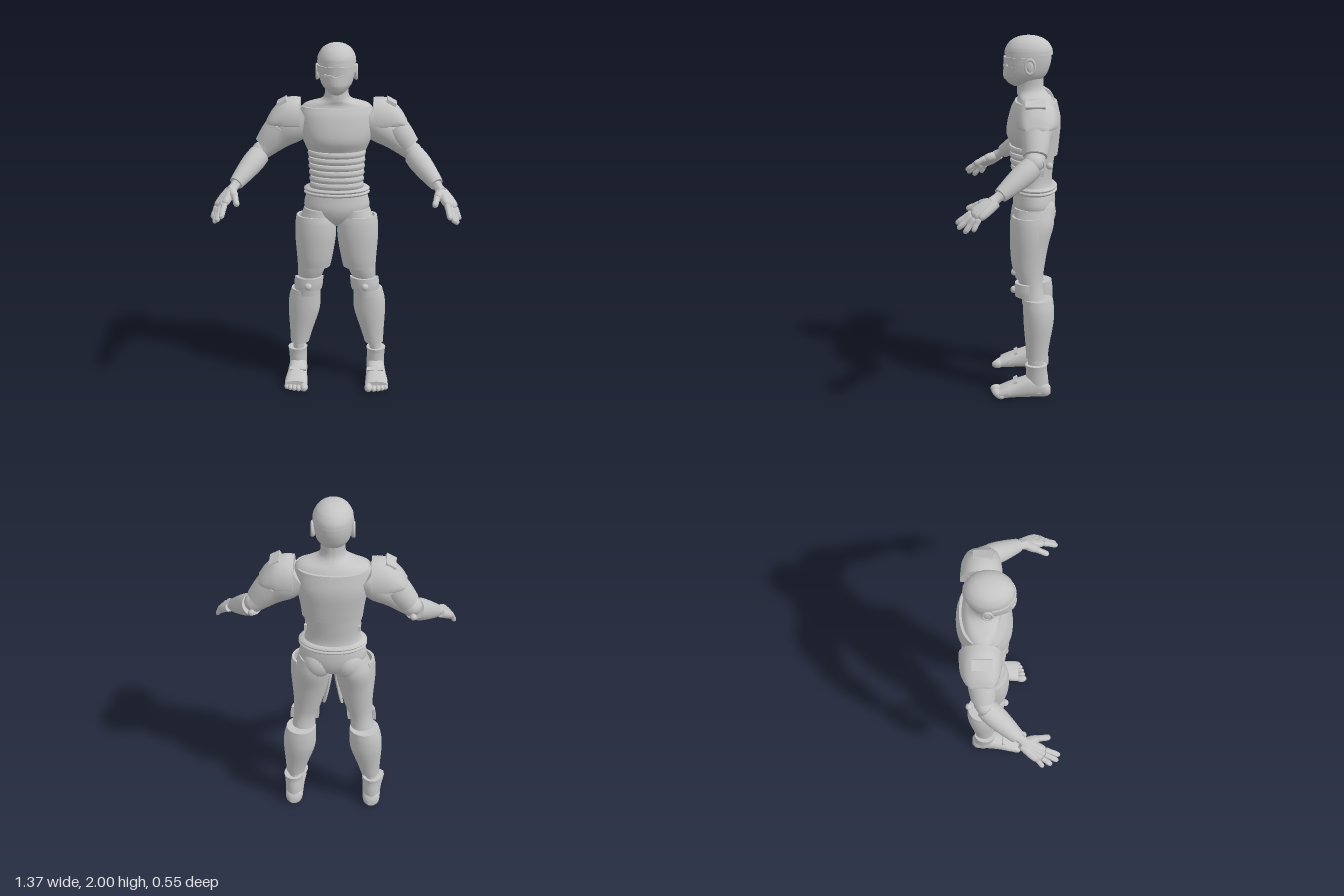
import * as THREE from 'three';
import { toCreasedNormals } from 'three/addons/utils/BufferGeometryUtils.js';

const grey = new THREE.MeshStandardMaterial({ color: 0xc4c4c4 });
grey.name = 'armour grey';
const V = (p) => new THREE.Vector3(...p);

function mesh(name, geometry, parent, pos = [0, 0, 0], rot = [0, 0, 0], scale = [1, 1, 1]) {
  const m = new THREE.Mesh(geometry, grey);
  m.name = name;
  m.position.set(...pos);
  m.rotation.set(...rot);
  m.scale.set(...scale);
  parent.add(m);
  return m;
}

// Smooth loft through ascending sections [y, cx, cz, rx, rz].
// With an arc [start, end] it becomes a curved plate of thickness th (0 = +x, PI/2 = front).
function loft(sections, { arc = null, th = 0.014, n = 2, seg = 32, sub = 5 } = {}) {
  const mid = new THREE.CatmullRomCurve3(sections.map((s) => V([s[1], s[0], s[2]])), false, 'catmullrom');
  const rad = new THREE.CatmullRomCurve3(sections.map((s) => V([s[3], 0, s[4]])), false, 'catmullrom');
  const rows = (sections.length - 1) * sub;
  const pos = [], idx = [];
  let N = 0;
  const pw = (v) => Math.sign(v) * Math.abs(v) ** (2 / n);
  for (let k = 0; k <= rows; k++) {
    const c = mid.getPoint(k / rows), r = rad.getPoint(k / rows), ring = [];
    const point = (a, d) => ring.push([c.x + pw(Math.cos(a)) * Math.max(r.x - d, 0.001), c.y,
      c.z + pw(Math.sin(a)) * Math.max(r.z - d, 0.001)]);
    if (arc) {
      for (let j = 0; j <= seg; j++) point(arc[0] + (arc[1] - arc[0]) * j / seg, 0);
      for (let j = seg; j >= 0; j--) point(arc[0] + (arc[1] - arc[0]) * j / seg, th);
    } else for (let j = 0; j < seg; j++) point(j / seg * Math.PI * 2, 0);
    N = ring.length;
    ring.forEach((p) => pos.push(...p));
  }
  for (let k = 0; k < rows; k++) for (let j = 0; j < N; j++) {
    const a = k * N + j, b = k * N + (j + 1) % N;
    idx.push(a, a + N, b, b, a + N, b + N);
  }
  // End caps
  const top = rows * N;
  for (let j = 0; j < N / 2 - 1; j++) {
    const a = j, b = j + 1, c = N - 2 - j, d = N - 1 - j;
    idx.push(a, b, d, b, c, d, top + b, top + a, top + d, top + c, top + b, top + d);
  }
  const g = new THREE.BufferGeometry();
  g.setAttribute('position', new THREE.Float32BufferAttribute(pos, 3));
  g.setIndex(idx);
  return toCreasedNormals(g, 0.75);
}

// Round limb between two points; profile is [fraction, radius].
function limb(name, parent, a, b, profile, seg = 24) {
  const d = V(b).sub(V(a)), len = d.length();
  const m = mesh(name, loft(profile.map(([t, r]) => [t * len, 0, 0, r, r]), { seg, sub: 4 }), parent, a);
  m.quaternion.setFromUnitVectors(new THREE.Vector3(0, 1, 0), d.normalize());
}
const finger = (r) => [[0, r * 0.8], [0.12, r], [0.45, r * 0.9], [0.6, r * 0.95], [0.85, r * 0.85], [0.96, r * 0.5], [1, r * 0.1]];
const ball = (r) => new THREE.SphereGeometry(r, 24, 16);
const box = (x, y, z) => new THREE.BoxGeometry(x, y, z);

function addHead(g) {
  mesh('head', loft([[1.725, 0, -0.07, 0.03, 0.05], [1.75, 0, -0.075, 0.06, 0.09], [1.79, 0, -0.09, 0.088, 0.113],
    [1.85, 0, -0.1, 0.1, 0.125], [1.91, 0, -0.105, 0.102, 0.125]], { n: 2.1 }), g);
  mesh('helmetCap', loft([[1.897, 0, -0.105, 0.107, 0.132], [1.93, 0, -0.105, 0.103, 0.127], [1.965, 0, -0.105, 0.084, 0.104],
    [1.987, 0, -0.105, 0.056, 0.07], [1.997, 0, -0.105, 0.028, 0.034], [2, 0, -0.105, 0.002, 0.002]]), g);
  mesh('visor', loft([[1.846, 0, -0.1, 0.108, 0.132], [1.885, 0, -0.1, 0.109, 0.133]], { arc: [0.1, Math.PI - 0.1] }), g);
  mesh('faceMask', loft([[1.762, 0, -0.085, 0.07, 0.113], [1.785, 0, -0.09, 0.086, 0.125], [1.835, 0, -0.095, 0.1, 0.126]],
    { arc: [0.5, Math.PI - 0.5], th: 0.02 }), g);
  for (const s of [-1, 1]) {
    mesh('eyeSlit', box(0.055, 0.008, 0.012), g, [s * 0.04, 1.84, 0.021], [0, s * 0.3, s * 0.2]);
    mesh('ear', ball(1), g, [s * 0.102, 1.837, -0.11], [0.2, 0, 0], [0.014, 0.042, 0.026]);
    mesh('earRim', new THREE.TorusGeometry(0.03, 0.008, 10, 28), g, [s * 0.108, 1.84, -0.112], [0, Math.PI / 2, 0], [0.85, 1.25, 1]);
  }
}

function addTorso(g) {
  mesh('torso', loft([[0.96, 0, -0.135, 0.05, 0.06], [1.0, 0, -0.137, 0.13, 0.1], [1.06, 0, -0.137, 0.183, 0.118],
    [1.13, 0, -0.14, 0.175, 0.113], [1.2, 0, -0.137, 0.15, 0.1], [1.3, 0, -0.137, 0.153, 0.108], [1.4, 0, -0.137, 0.165, 0.12],
    [1.5, 0, -0.133, 0.19, 0.134], [1.6, 0, -0.14, 0.205, 0.122], [1.655, 0, -0.14, 0.18, 0.095], [1.685, 0, -0.125, 0.09, 0.083],
    [1.72, 0, -0.115, 0.066, 0.073], [1.79, 0, -0.115, 0.068, 0.07]], { seg: 48 }), g);
  mesh('chestPlate', loft([[1.405, 0, -0.13, 0.168, 0.122], [1.46, 0, -0.13, 0.19, 0.145], [1.52, 0, -0.13, 0.204, 0.142],
    [1.6, 0, -0.13, 0.205, 0.122], [1.645, 0, -0.13, 0.195, 0.1]], { arc: [0.05, Math.PI - 0.05], n: 2.2, seg: 40 }), g);
  mesh('backPlate', loft([[1.35, 0, -0.14, 0.172, 0.127], [1.43, 0, -0.14, 0.182, 0.135], [1.54, 0, -0.14, 0.2, 0.142],
    [1.64, 0, -0.14, 0.195, 0.122]], { arc: [-Math.PI / 2 - 1.2, -Math.PI / 2 + 1.2], n: 2.2, seg: 40 }), g);
  // Overlapping belly slats
  for (let i = 0; i < 6; i++) {
    const y = 1.183 + i * 0.037, r = 0.153 + i * 0.002, z = 0.112 + i * 0.004;
    mesh('bellySlat', loft([[y, 0, -0.135, r, z], [y + 0.016, 0, -0.135, r + 0.006, z + 0.008], [y + 0.031, 0, -0.135, r + 0.002, z + 0.003]],
      { arc: [0.3, Math.PI - 0.3], th: 0.02, sub: 3, n: 2.2 }), g);
  }
  for (const y of [1.138, 1.158]) mesh('belt', loft([[y, 0, -0.142, 0.178, 0.116], [y + 0.01, 0, -0.142, 0.187, 0.124],
    [y + 0.02, 0, -0.142, 0.178, 0.116]], { seg: 48 }), g);
}

// Dome lofted along x, with its underside flattened
function shoulderGuardGeometry() {
  const floor = 1.548;
  const dome = loft([[-0.392, 1.548, -0.145, 0.012, 0.055], [-0.36, 1.548, -0.147, 0.068, 0.085], [-0.305, 1.55, -0.15, 0.123, 0.105],
    [-0.25, 1.555, -0.15, 0.134, 0.112], [-0.203, 1.56, -0.15, 0.126, 0.113]], { n: 2.2 }).rotateZ(Math.PI / 2);
  const p = dome.attributes.position;
  for (let i = 0; i < p.count; i++) if (p.getY(i) < floor) p.setY(i, floor - (floor - p.getY(i)) * 0.12);
  return toCreasedNormals(dome, 0.75);
}

function addArm(g) {
  limb('upperArm', g, [0.17, 1.585, -0.145], [0.43, 1.375, -0.135], [[0, 0.085], [0.3, 0.092], [0.6, 0.068], [1, 0.05]]);
  mesh('shoulderGuard', shoulderGuardGeometry(), g);
  mesh('shoulderTab', box(0.058, 0.018, 0.105), g, [0.303, 1.667, -0.14], [0, 0, -0.5]);
  limb('upperArmCuff', g, [0.32, 1.525, -0.143], [0.402, 1.415, -0.138], [[0, 0.078], [0.5, 0.074], [1, 0.064]]);
  mesh('elbow', ball(0.052), g, [0.425, 1.385, -0.13]);
  mesh('elbowKnob', ball(0.018), g, [0.43, 1.37, -0.213]);
  limb('forearmGuard', g, [0.435, 1.363, -0.122], [0.553, 1.242, 0.04], [[0, 0.06], [0.25, 0.062], [0.6, 0.054], [1, 0.04]]);
  limb('wrist', g, [0.545, 1.25, 0.03], [0.578, 1.21, 0.085], [[0, 0.028], [0.5, 0.026], [1, 0.03]]);
  // Palm bones and fingers, from index to little finger
  const knuckles = [[0.604, 1.165, 0.188], [0.624, 1.152, 0.186], [0.641, 1.143, 0.171], [0.653, 1.142, 0.148]];
  const tips = [[0.618, 1.108, 0.27], [0.642, 1.086, 0.26], [0.659, 1.067, 0.225], [0.675, 1.08, 0.18]];
  knuckles.forEach((k, i) => {
    limb('palm', g, [0.57 + i * 0.006, 1.218 - i * 0.003, 0.072 - i * 0.003], k, [[0, 0.024], [0.5, 0.025], [0.9, 0.02], [1, 0.012]], 14);
    limb('finger', g, k, tips[i], finger(0.0165 - (i === 3 ? 0.002 : 0)), 14);
  });
  limb('thumbBase', g, [0.575, 1.21, 0.085], [0.55, 1.195, 0.155], [[0, 0.025], [0.5, 0.026], [0.9, 0.02], [1, 0.01]], 14);
  limb('thumb', g, [0.552, 1.197, 0.145], [0.534, 1.165, 0.218], finger(0.018), 14);
}

function addLeg(g) {
  mesh('buttock', ball(1), g, [0.082, 1.035, -0.17], [0, 0, 0], [0.088, 0.1, 0.088]);
  mesh('thigh', loft([[0.53, 0.17, -0.138, 0.068, 0.066], [0.62, 0.16, -0.125, 0.064, 0.062], [0.7, 0.145, -0.115, 0.078, 0.076],
    [0.85, 0.125, -0.118, 0.098, 0.098], [0.97, 0.113, -0.132, 0.102, 0.115], [1.06, 0.1, -0.137, 0.085, 0.108]]), g);
  mesh('thighGuard', loft([[0.715, 0.13, -0.104, 0.093, 0.084], [0.78, 0.125, -0.102, 0.102, 0.093], [0.9, 0.12, -0.103, 0.116, 0.1],
    [0.98, 0.12, -0.107, 0.114, 0.099], [1.02, 0.124, -0.11, 0.104, 0.094]], { arc: [-0.75, Math.PI + 0.5] }), g);
  mesh('kneeGuard', loft([[0.575, 0.165, -0.115, 0.08, 0.082], [0.61, 0.162, -0.115, 0.083, 0.085], [0.65, 0.158, -0.115, 0.081, 0.083]],
    { arc: [0.05, Math.PI - 0.05], th: 0.018 }), g);
  mesh('kneeKnob', ball(0.021), g, [0.162, 0.607, -0.028]);
  mesh('shinGuard', loft([[0.225, 0.218, -0.155, 0.054, 0.06], [0.3, 0.208, -0.158, 0.067, 0.067], [0.42, 0.192, -0.164, 0.09, 0.083],
    [0.5, 0.187, -0.164, 0.091, 0.086], [0.56, 0.18, -0.161, 0.083, 0.083]]), g);
  mesh('ankle', loft([[0.15, 0.227, -0.15, 0.032, 0.044], [0.24, 0.222, -0.15, 0.034, 0.044]]), g);
  mesh('bootCollar', loft([[0.03, 0.228, -0.165, 0.05, 0.058], [0.11, 0.228, -0.157, 0.051, 0.062], [0.16, 0.23, -0.153, 0.052, 0.059],
    [0.19, 0.23, -0.152, 0.056, 0.062]]), g);
  // Foot runs along z
  mesh('foot', loft([[-0.232, 0.228, -0.035, 0.022, 0.02], [-0.205, 0.228, -0.048, 0.047, 0.045], [-0.13, 0.228, -0.063, 0.053, 0.063],
    [-0.06, 0.23, -0.054, 0.057, 0.054], [0.01, 0.233, -0.039, 0.065, 0.039], [0.055, 0.234, -0.028, 0.065, 0.028]], { n: 2.4 }),
    g, [0, 0, 0], [Math.PI / 2, 0, 0]);
  [[0.186, 0.072, 0.023], [0.217, 0.073, 0.017], [0.242, 0.067, 0.0165], [0.265, 0.058, 0.016], [0.285, 0.045, 0.016]].forEach(([x, z, r]) =>
    mesh('toe', ball(r), g, [x, r + 0.004, z], [0, 0, 0], [1, 1.05, 1.5]));
  mesh('instepStrap', box(0.095, 0.012, 0.022), g, [0.225, 0.094, -0.035], [0.45, 0, 0]);
  mesh('hipClip', box(0.014, 0.034, 0.018), g, [0.145, 1.265, -0.18]);
}

export function createModel() {
  const model = new THREE.Group();
  model.name = 'armouredFigure';
  addHead(model);
  addTorso(model);
  for (const [side, s] of [['left', 1], ['right', -1]]) for (const [part, build] of [['Arm', addArm], ['Leg', addLeg]]) {
    const g = new THREE.Group();
    g.name = side + part;
    g.scale.x = s;
    build(g);
    model.add(g);
  }
  return model;
}
